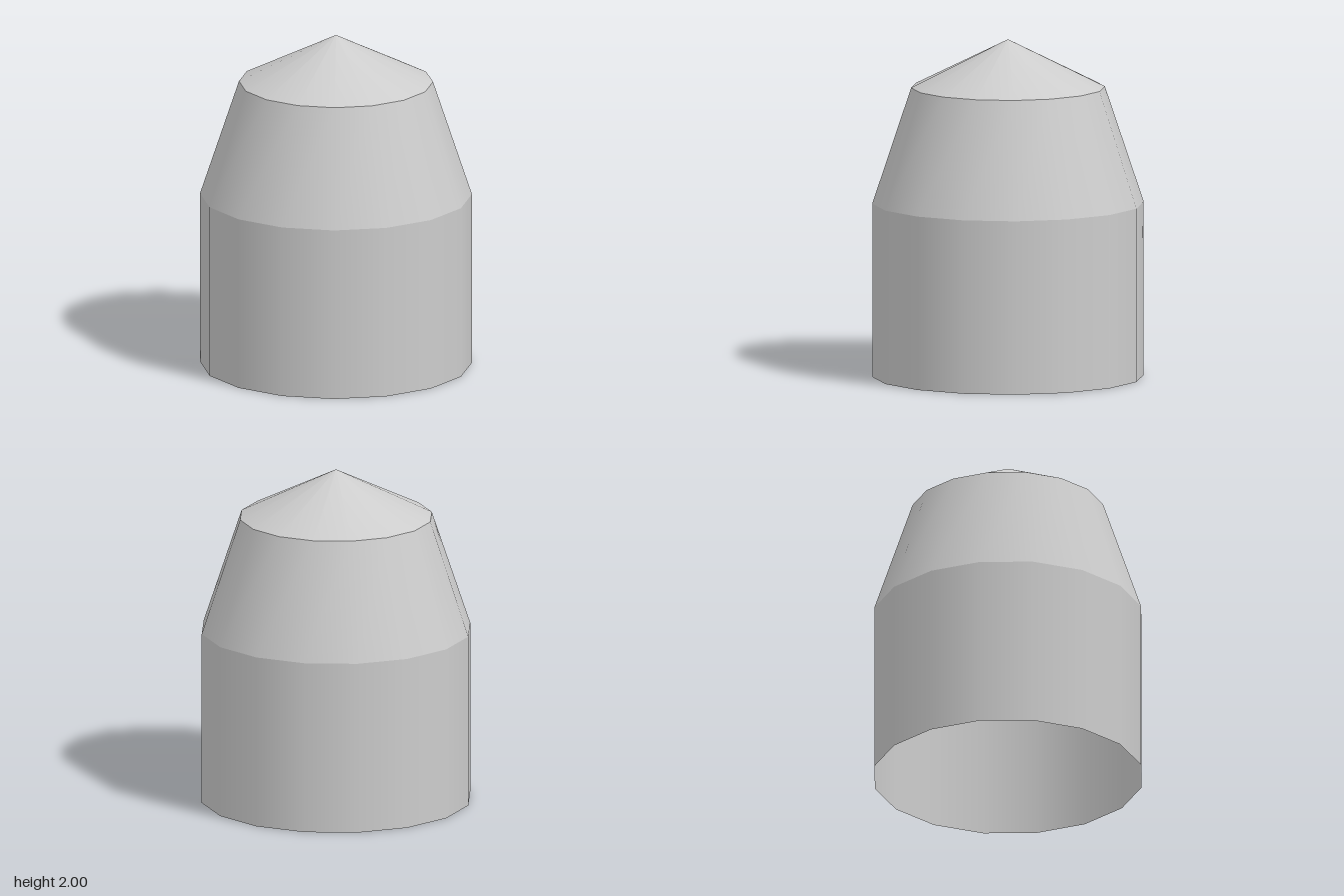
import * as THREE from 'three';

const SIDES = 16;

export function createModel() {
  const model = new THREE.Group();
  model.name = 'silo';

  const metal = new THREE.MeshStandardMaterial({ color: 0xcccccc, side: THREE.DoubleSide });
  metal.name = 'light grey metal';

  // Open ring of wall between two heights
  const addSection = (name, bottomRadius, topRadius, bottom, top) => {
    const height = top - bottom;
    const geometry = new THREE.CylinderGeometry(topRadius, bottomRadius, height, SIDES, 1, true);
    const mesh = new THREE.Mesh(geometry, metal);
    mesh.name = name;
    mesh.position.y = bottom + height / 2;
    model.add(mesh);
  };

  // Hollow shell, open underneath
  addSection('lowerWall', 0.8, 0.8, 0, 1.03);
  addSection('taperedShoulder', 0.8, 0.571, 1.03, 1.716);
  addSection('conicalCap', 0.571, 0, 1.716, 2);

  return model;
}
